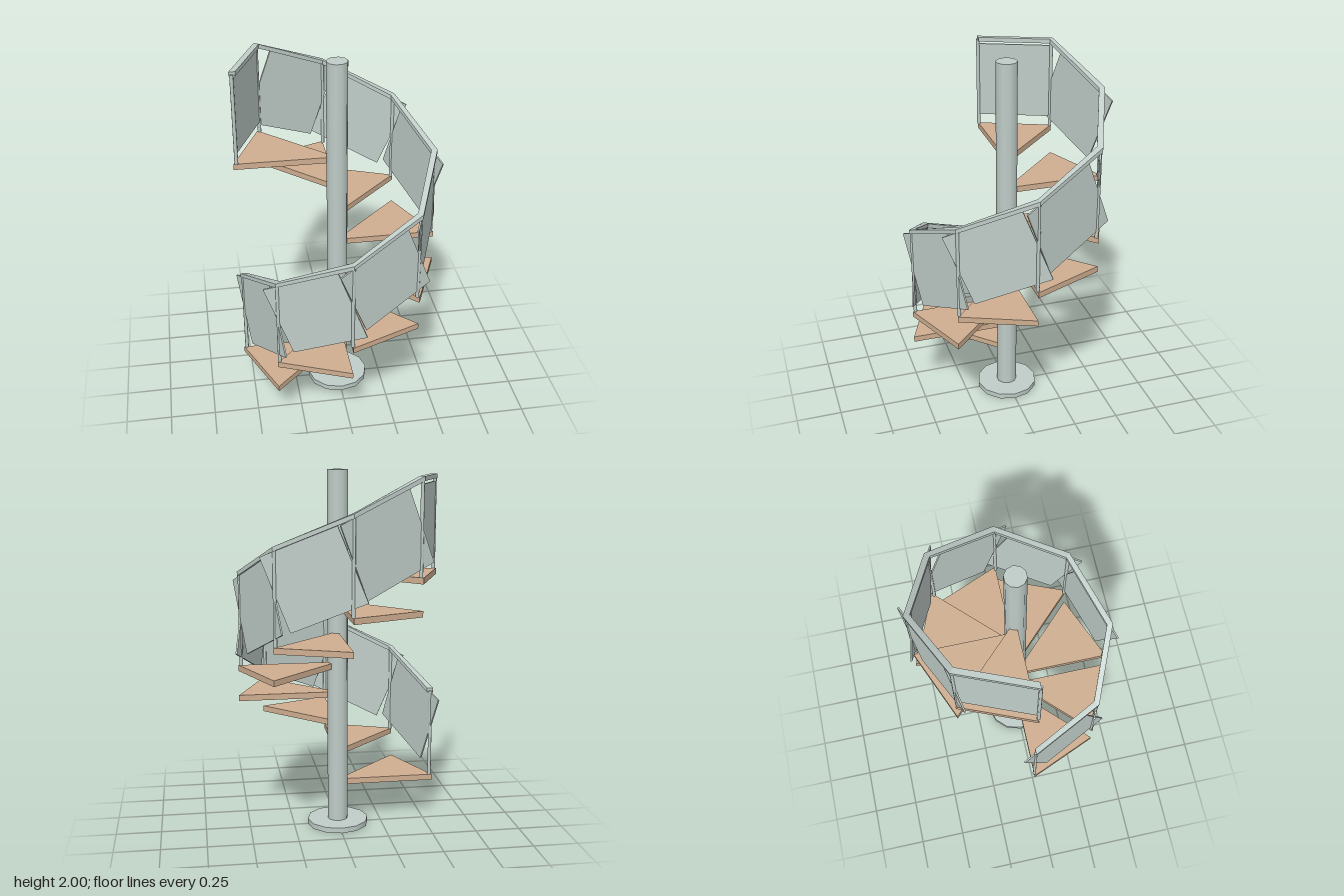
import * as THREE from 'three';

const STEPS = 8, RISE = 0.1714, FIRST_TOP = 0.26;
const TREAD_R = 0.55, POST_R = 0.534, RAIL_R = 0.531;

// Corner k of the octagon; the stair starts at -x and climbs via the front
const corner = (k, r, y = 0) => {
  const a = Math.PI - k * Math.PI / 4;
  return new THREE.Vector3(r * Math.cos(a), y, r * Math.sin(a));
};
const treadTop = (i) => FIRST_TOP + RISE * Math.min(i, STEPS - 1);

export function createModel() {
  const group = new THREE.Group();
  const metal = new THREE.MeshStandardMaterial({ color: 0xc0cdc9 });
  metal.name = 'pale metal';
  const wood = new THREE.MeshStandardMaterial({ color: 0xcfae90 });
  wood.name = 'light wood';

  const add = (name, geometry, material) => {
    const mesh = new THREE.Mesh(geometry, material);
    mesh.name = name;
    group.add(mesh);
    return mesh;
  };

  // Central column and its foot plate
  const pole = add('centralPole', new THREE.CylinderGeometry(0.057, 0.057, 2, 10), metal);
  pole.position.y = 1;
  pole.rotation.y = Math.PI / 2;
  const base = add('basePlate', new THREE.CylinderGeometry(0.172, 0.172, 0.03, 12), metal);
  base.position.y = 0.015;
  base.rotation.y = Math.PI / 2;

  // Posts, one per corner, the last two both on the top tread
  for (let k = 0; k <= STEPS; k++) {
    const post = add('post', new THREE.CylinderGeometry(0.01, 0.01, 0.5, 8), metal);
    post.position.copy(corner(k, POST_R, treadTop(k) + 0.25));
  }

  for (let i = 0; i < STEPS; i++) {
    // Wedge tread
    const a = corner(i, TREAD_R), b = corner(i + 1, TREAD_R);
    const wedge = new THREE.Shape([
      new THREE.Vector2(0, 0), new THREE.Vector2(a.x, -a.z), new THREE.Vector2(b.x, -b.z),
    ]);
    const treadGeo = new THREE.ExtrudeGeometry(wedge, { depth: 0.033, bevelEnabled: false });
    treadGeo.rotateX(-Math.PI / 2);
    add('tread', treadGeo, wood).position.y = treadTop(i) - 0.033;

    // Handrail section, mitred at the corners
    const railGeo = new THREE.BoxGeometry(1, 1, 1);
    const pos = railGeo.attributes.position;
    for (let v = 0; v < pos.count; v++) {
      const k = pos.getX(v) < 0 ? i : i + 1;
      const p = corner(k, RAIL_R + pos.getZ(v) * 0.034, treadTop(k) + 0.503 + pos.getY(v) * 0.024);
      pos.setXYZ(v, p.x, p.y, p.z);
    }
    railGeo.computeVertexNormals();
    add('handrail', railGeo, metal);

    // Rectangular infill panel, tilted to the slope of the rail
    const p0 = corner(i, POST_R, treadTop(i) + 0.268);
    const p1 = corner(i + 1, POST_R, treadTop(i + 1) + 0.268);
    const d = p1.clone().sub(p0);
    const panel = add('panel', new THREE.BoxGeometry(d.length() - 0.005, 0.415, 0.009), metal);
    panel.position.copy(p0).add(p1).multiplyScalar(0.5);
    panel.rotation.set(0, Math.atan2(-d.z, d.x), Math.atan2(d.y, Math.hypot(d.x, d.z)));
  }
  return group;
}
